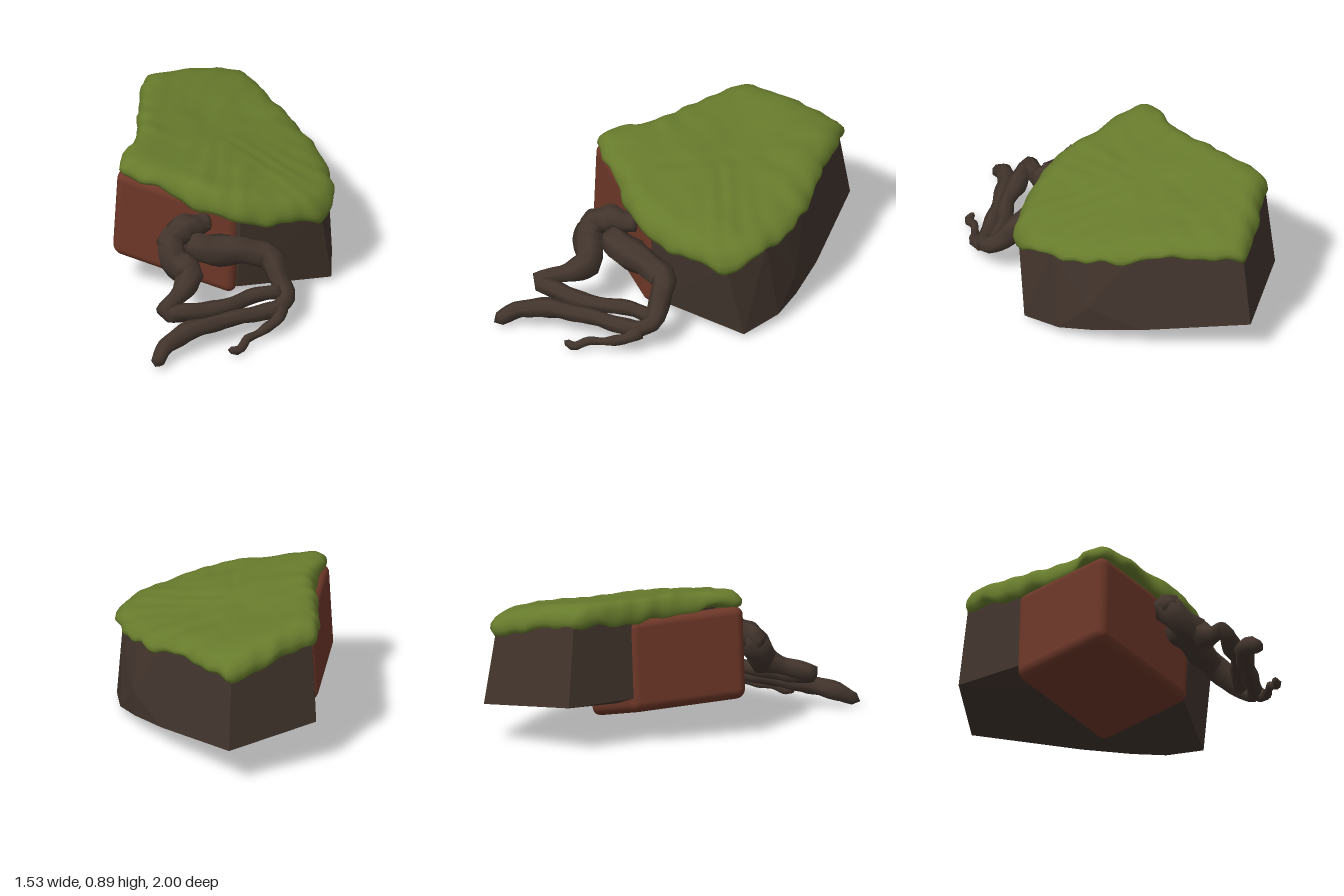
import * as THREE from 'three';
import { mergeVertices } from 'three/addons/utils/BufferGeometryUtils.js';
import { RoundedBoxGeometry } from 'three/addons/geometries/RoundedBoxGeometry.js';
import { ConvexGeometry } from 'three/addons/geometries/ConvexGeometry.js';

const v = (x, y, z) => new THREE.Vector3(x, y, z);
const { smoothstep, lerp } = THREE.MathUtils;

// Sloping plane on which the moss lies
const slope = (x, z) => 0.805 - 0.19 * x - 0.13 * z;

// Dark boulder: a leaning prism over an irregular footprint
function rockGeometry() {
  const foot = [[0.04, -0.99], [0.64, -1], [0.74, -0.35], [0.755, -0.05], [0.74, 0.16],
    [0.63, 0.4], [0.03, 0.37], [-0.33, -0.02], [-0.27, -0.4]];
  const points = [v(0.765, 0.26, -0.03)];
  for (const [x, z] of foot) {
    const rise = 0.09 * Math.max(0, 0.63 - x) + 0.25 * Math.max(0, -x);
    points.push(v(x, 0.03 + 0.143 * (0.4 - z) + rise, z));
    const inset = x < 0.3 ? 0 : z > 0.2 ? 0.09 : 0.05;
    points.push(v(x - inset, slope(x, z) - (x > 0.7 ? 0.08 : 0.125), z + 0.06));
  }
  return new ConvexGeometry(points);
}

// Red stone: a rounded block sheared down along its length
function redGeometry() {
  const geo = new RoundedBoxGeometry(0.75, 0.56, 0.73, 4, 0.055);
  const m = new THREE.Matrix4().makeBasis(v(0.8, -0.26, 0.6), v(0.05, 1, 0.02), v(-0.6, 0.05, 0.8));
  m.setPosition(-0.08, 0.408, -0.1);
  return geo.applyMatrix4(m);
}

// Moss: rings from the centre out over a rounded, bumpy rim and back underneath
function mossGeometry() {
  const outline = [[0, -0.925], [0.1, -0.94], [0.61, -0.95], [0.65, -0.87], [0.69, -0.55],
    [0.745, -0.25], [0.757, -0.05], [0.725, 0.18], [0.64, 0.4], [0.535, 0.485], [0.15, 0.49],
    [0, 0.45], [-0.15, 0.37], [-0.3, 0.22], [-0.44, 0.11], [-0.555, -0.02], [-0.5, -0.13],
    [-0.37, -0.26], [-0.24, -0.5], [-0.14, -0.7]];
  const curve = new THREE.CatmullRomCurve3(outline.map(([x, z]) => v(x, 0, z)), true, 'centripetal');
  const N = 120, cx = 0.15, cz = -0.2;
  const rings = [[0, 0], [0.1, 0], [0.2, 0], [0.3, 0], [0.4, 0], [0.5, 0], [0.6, 0], [0.7, 0],
    [0.79, 0.002], [0.86, 0.01], [0.92, 0.025], [0.965, 0.055], [0.995, 0.095], [1, 0.13],
    [0.985, 0.16], [0.94, 0.165], [0.8, 0.15], [0, 0.15]];
  const pos = [], index = [];
  rings.forEach(([s, drop], i) => {
    for (let k = 0; k < N; k++) {
      const p = curve.getPointAt(k / N), a = (k / N) * Math.PI * 2;
      const wobble = 1 + s ** 6 * (0.008 * Math.sin(a * 17) + 0.007 * Math.sin(a * 29 + 1));
      const x = cx + (p.x - cx) * s * wobble, z = cz + (p.z - cz) * s * wobble;
      const bump = 0.006 * Math.sin(x * 17 + 2 * Math.sin(z * 9)) * Math.cos(z * 15 + x * 6)
        + 0.005 * Math.sin(x * 31 + 3) * Math.sin(z * 27 + 3 * Math.sin(x * 8))
        + 0.01 * Math.sin(x * 5 + 1) * Math.cos(z * 6);
      // the rim hangs lower at the front and back than at the sides
      const hang = 1 + 0.07 * Math.sin(a * 11) + 0.04 * Math.sin(a * 23 + 2)
        - 0.45 * smoothstep(p.x, 0.6, 0.7) - 0.35 * smoothstep(-p.x, 0.2, 0.5);
      pos.push(x, slope(x, z) + bump - drop * hang, z);
      if (i === rings.length - 1) continue;
      const n = (k + 1) % N, a0 = i * N + k, b0 = i * N + n, c0 = a0 + N, d0 = b0 + N;
      index.push(a0, b0, d0, a0, d0, c0);
    }
  });
  let geo = new THREE.BufferGeometry();
  geo.setAttribute('position', new THREE.Float32BufferAttribute(pos, 3));
  geo.setIndex(index);
  geo = mergeVertices(geo, 1e-5);
  geo.computeVertexNormals();
  return geo;
}

// Root limb: a knobbly tube whose radius follows the fourth number of each path point
function limbGeometry(path) {
  const curve = new THREE.CatmullRomCurve3(path.map(([x, y, z]) => v(x, y, z)), false, 'catmullrom', 0.3);
  const n = path.length * 4, sides = 7;
  let geo = new THREE.TubeGeometry(curve, n, 1, sides);
  const p = geo.attributes.position, q = v(0, 0, 0);
  for (let i = 0; i <= n; i++) {
    const c = curve.getPointAt(i / n), t = curve.getUtoTmapping(i / n) * (path.length - 1);
    const j = Math.min(Math.floor(t), path.length - 2);
    const r = i === 0 || i === n ? 0 : lerp(path[j][3], path[j + 1][3], t - j);
    for (let k = 0; k <= sides; k++) {
      const id = i * (sides + 1) + k;
      const knot = 1 + 0.1 * Math.sin(i * 0.9 + (k % sides) * 2.1);
      q.fromBufferAttribute(p, id).sub(c).multiplyScalar(r * knot).add(c);
      p.setXYZ(id, q.x, q.y, q.z);
    }
  }
  geo.deleteAttribute('uv');
  geo.deleteAttribute('normal');
  geo = mergeVertices(geo, 1e-5);
  geo.computeVertexNormals();
  return geo;
}

export function createModel() {
  const material = (name, color) => {
    const m = new THREE.MeshStandardMaterial({ color });
    m.name = name;
    return m;
  };
  const brown = material('darkBrown', 0x42352d);
  const red = material('brickRed', 0x6d3728);
  const green = material('mossGreen', 0x677b2c);

  const model = new THREE.Group();
  model.name = 'mossyRock';
  const add = (name, geo, mat, parent = model) => {
    const mesh = new THREE.Mesh(geo, mat);
    mesh.name = name;
    parent.add(mesh);
  };
  add('boulder', rockGeometry(), brown);
  add('redStone', redGeometry(), red);
  add('moss', mossGeometry(), green);

  const roots = new THREE.Group();
  roots.name = 'roots';
  model.add(roots);
  const limbs = {
    // gnarled knot where the roots leave the stone
    knot: [[-0.47, 0.46, 0.37, 0.04], [-0.4, 0.5, 0.35, 0.075], [-0.3, 0.54, 0.32, 0.085],
      [-0.2, 0.54, 0.31, 0.065], [-0.11, 0.54, 0.31, 0.05]],
    // over the right bend, then back left to the long tip
    mainRoot: [[-0.31, 0.45, 0.34, 0.06], [-0.24, 0.43, 0.38, 0.095], [-0.12, 0.41, 0.43, 0.095],
      [0.03, 0.39, 0.47, 0.085], [0.16, 0.36, 0.53, 0.08], [0.185, 0.26, 0.63, 0.065],
      [0.19, 0.18, 0.73, 0.055], [0.1, 0.14, 0.79, 0.05], [-0.2, 0.145, 0.79, 0.05],
      [-0.48, 0.135, 0.81, 0.06], [-0.65, 0.1, 0.86, 0.055], [-0.76, 0.035, 0.955, 0.035]],
    // down the left side, then right to rejoin the bend
    leftRoot: [[-0.34, 0.53, 0.32, 0.06], [-0.4, 0.47, 0.36, 0.085], [-0.4, 0.4, 0.42, 0.09],
      [-0.34, 0.335, 0.52, 0.09], [-0.43, 0.285, 0.6, 0.06], [-0.6, 0.235, 0.71, 0.045],
      [-0.44, 0.21, 0.72, 0.06], [-0.25, 0.2, 0.74, 0.05], [0, 0.21, 0.7, 0.045],
      [0.19, 0.2, 0.7, 0.05]],
    // thin twig at the front
    smallRoot: [[0.15, 0.15, 0.79, 0.045], [0.06, 0.1, 0.86, 0.035], [-0.06, 0.065, 0.89, 0.025],
      [-0.15, 0.06, 0.92, 0.025], [-0.22, 0.03, 0.97, 0.03], [-0.29, 0.045, 0.96, 0.015]],
  };
  for (const [name, path] of Object.entries(limbs)) add(name, limbGeometry(path), brown, roots);
  return model;
}
